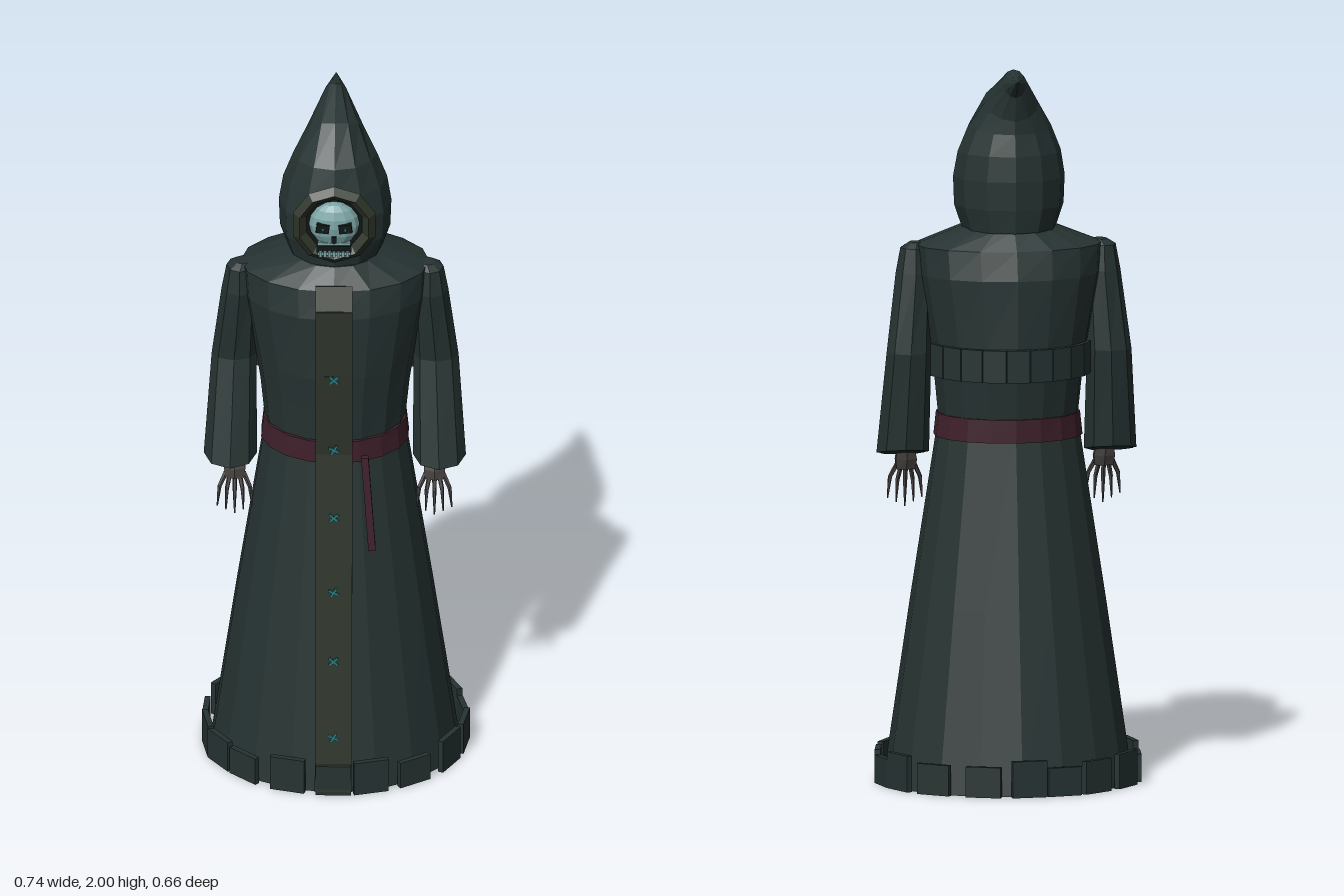
import * as THREE from 'three';

const mat = (color) => new THREE.MeshStandardMaterial({ color, flatShading: true, side: THREE.DoubleSide });

export function createModel() {
  const model = new THREE.Group();
  const robe = mat(0x263332), robeDark = mat(0x222d2d), trim = mat(0x2d3429), belt = mat(0x3f202b);
  const bone = mat(0x4a4543), mask = mat(0x7aa3a3), dark = mat(0x101616), glow = mat(0x2b8284);

  const add = (name, geometry, material, parent = model) => {
    const mesh = new THREE.Mesh(geometry, material);
    mesh.name = name;
    parent.add(mesh);
    return mesh;
  };
  const group = (name) => {
    const g = new THREE.Group();
    g.name = name;
    model.add(g);
    return g;
  };
  const box = (name, w, h, d, x, y, z, material, parent) => {
    const m = add(name, new THREE.BoxGeometry(w, h, d), material, parent);
    m.position.set(x, y, z);
    return m;
  };

  // Skin over elliptical rings, bottom to top: [y, rx, rz, cz, cx, forward tilt]
  const loft = (rings, sides, capped = true) => {
    const pos = [];
    const pt = (r, i) => {
      const a = (i / sides) * Math.PI * 2;
      const [y, rx, rz, cz = 0, cx = 0, tilt = 0] = r;
      return [cx + rx * Math.sin(a), y + tilt * Math.cos(a), cz + rz * Math.cos(a)];
    };
    const centre = (r) => [r[4] || 0, r[0], r[3] || 0];
    const first = rings[0], last = rings[rings.length - 1];
    for (let i = 0; i < sides; i++) {
      for (let j = 0; j < rings.length - 1; j++) {
        const a = pt(rings[j], i), b = pt(rings[j], i + 1);
        const c = pt(rings[j + 1], i + 1), d = pt(rings[j + 1], i);
        pos.push(...a, ...b, ...c, ...a, ...c, ...d);
      }
      if (capped) {
        pos.push(...centre(first), ...pt(first, i + 1), ...pt(first, i));
        pos.push(...centre(last), ...pt(last, i), ...pt(last, i + 1));
      }
    }
    const g = new THREE.BufferGeometry();
    g.setAttribute('position', new THREE.Float32BufferAttribute(pos, 3));
    g.computeVertexNormals();
    return g;
  };

  // Straight piece from p to q: a bar, or a tapered rod when r is given
  const link = (name, p, q, w, d, material, parent, r) => {
    const a = new THREE.Vector3(...p), b = new THREE.Vector3(...q);
    const len = a.distanceTo(b);
    const geo = r ? new THREE.CylinderGeometry(r[1], r[0], len, 5) : new THREE.BoxGeometry(w, len, d);
    const m = add(name, geo, material, parent);
    m.position.copy(a).add(b).multiplyScalar(0.5);
    m.quaternion.setFromUnitVectors(new THREE.Vector3(0, 1, 0), b.sub(a).normalize());
    return m;
  };

  // Robe body
  add('skirt', loft([[0, 0.345, 0.312], [0.5, 0.272, 0.24], [1.0, 0.195, 0.168]], 18), robe);
  add('torso', loft([
    [0.98, 0.19, 0.168], [1.13, 0.205, 0.185, -0.005], [1.23, 0.22, 0.2, -0.01],
    [1.42, 0.255, 0.202, -0.01], [1.5, 0.26, 0.182, -0.01], [1.55, 0.13, 0.13, -0.01],
  ], 16), robe);

  // Ragged hem
  const hem = group('hem');
  for (let i = 0; i < 18; i++) {
    const a = (i / 18) * Math.PI * 2 + 0.06 * Math.sin(i * 5);
    const h = 0.09 + 0.012 * Math.sin(i * 2.3);
    const m = box('hemPatch', 0.098, h, 0.016, 0.358 * Math.sin(a), h / 2, 0.319 * Math.cos(a), robe, hem);
    m.rotation.y = Math.atan2(Math.sin(a) / 0.358, Math.cos(a) / 0.319) + 0.07 * Math.sin(i * 3);
  }

  // Belt and hanging strap
  add('belt', loft([[0.965, 0.206, 0.181], [1.03, 0.199, 0.181]], 18), belt);
  link('beltStrap', [0.105, 0.705, 0.2], [0.085, 0.99, 0.188], 0.02, 0.018, belt);

  // Row of pouches round the back
  const pouches = group('backPouches');
  for (let i = 0; i < 9; i++) {
    const a = Math.PI + (i - 4) * 0.29;
    const m = box('pouch', 0.064, 0.09, 0.022, 0.218 * Math.sin(a), 1.185, 0.216 * Math.cos(a), robe, pouches);
    m.rotation.y = a;
  }

  // Front panel following the robe, with small crossed marks
  const panel = group('frontPanel');
  const path = [[1.515, 0.165], [1.45, 0.193], [1.25, 0.195], [1.0, 0.188], [0.01, 0.322]];
  for (let i = 0; i < path.length - 1; i++) {
    link('panelStrip', [0, ...path[i + 1]], [0, ...path[i]], 0.102, 0.012, trim, panel);
  }
  [[1.24, 0.205], [1.02, 0.205], [0.82, 0.23], [0.6, 0.258], [0.4, 0.289], [0.18, 0.325]].forEach(([y, z], i) => {
    for (const s of [-1, 1]) {
      const m = box('mark', 0.032, 0.006, 0.007, 0, y, z, glow, panel);
      m.rotation.z = s * 0.75 + (i % 2) * 0.3;
    }
  });

  // Pointed hood with its tip bent backwards
  add('hood', loft([
    [1.545, 0.13, 0.138, -0.02], [1.61, 0.152, 0.148, -0.018], [1.69, 0.155, 0.152, -0.018],
    [1.76, 0.143, 0.14, -0.025], [1.83, 0.115, 0.122, -0.03, 0, 0.01],
    [1.9, 0.074, 0.081, -0.07, 0, 0.042], [1.962, 0.032, 0.024, -0.14, 0, 0.036],
    [1.976, 0.002, 0.002, -0.215],
  ], 12), robe);

  // Face opening
  const face = group('face');
  const rim = add('hoodRim', new THREE.TorusGeometry(0.1, 0.02, 4, 10), trim, face);
  rim.position.set(0, 1.7, 0.148);
  rim.rotation.z = Math.PI / 10;
  const hollow = add('hoodHollow', new THREE.CylinderGeometry(0.095, 0.095, 0.012, 10), dark, face);
  hollow.rotation.x = Math.PI / 2;
  hollow.position.set(0, 1.7, 0.138);

  // Skull mask
  const skull = add('skullMask', new THREE.SphereGeometry(1, 12, 8), mask, face);
  skull.scale.set(0.07, 0.068, 0.038);
  skull.position.set(0, 1.705, 0.15);
  box('jaw', 0.09, 0.04, 0.04, 0, 1.638, 0.155, mask, face);
  box('mouth', 0.096, 0.02, 0.006, 0, 1.64, 0.177, dark, face);
  box('nose', 0.014, 0.018, 0.01, 0, 1.675, 0.187, dark, face);
  for (const s of [-1, 1]) {
    const eye = box('eyeSocket', 0.036, 0.026, 0.014, s * 0.031, 1.708, 0.183, dark, face);
    eye.rotation.z = s * 0.12;
    box('eyeGlint', 0.008, 0.008, 0.006, s * 0.031, 1.708, 0.192, glow, face);
  }
  for (let i = 0; i < 7; i++) box('tooth', 0.008, 0.017, 0.008, (i - 3) * 0.0125, 1.634, 0.196, mask, face);

  // Sleeves and skeletal hands
  for (const s of [-1, 1]) {
    const arm = group(s > 0 ? 'leftArm' : 'rightArm');
    add('sleeve', loft([
      [0.915, 0.073, 0.066, 0.033, s * 0.288, -0.014], [1.2, 0.062, 0.045, -0.022, s * 0.278],
      [1.42, 0.05, 0.055, 0, s * 0.262], [1.49, 0.037, 0.045, 0, s * 0.262], [1.505, 0.02, 0.025, 0, s * 0.255],
    ], 8), robe, arm);
    add('cuffHollow', loft([[0.913, 0.064, 0.057, 0.033, s * 0.288, -0.014], [0.92, 0.064, 0.057, 0.033, s * 0.288, -0.014]], 8), robeDark, arm);
    add('palm', loft([[0.862, 0.03, 0.018, 0.07, s * 0.275], [0.89, 0.034, 0.024, 0.065, s * 0.275], [0.95, 0.022, 0.02, 0.05, s * 0.278]], 6), bone, arm);
    for (let i = 0; i < 5; i++) {
      const t = i - 2;
      const root = [s * 0.275 + t * 0.012, 0.875, 0.07];
      const knuckle = [s * 0.275 + t * 0.021, 0.825 + 0.006 * Math.abs(t), 0.083];
      const tip = [s * 0.275 + t * 0.024, 0.755 + 0.012 * Math.abs(t), 0.088];
      link('fingerBase', root, knuckle, 0, 0, bone, arm, [0.007, 0.006]);
      link('fingerTip', knuckle, tip, 0, 0, bone, arm, [0.006, 0.002]);
    }
  }
  return model;
}
